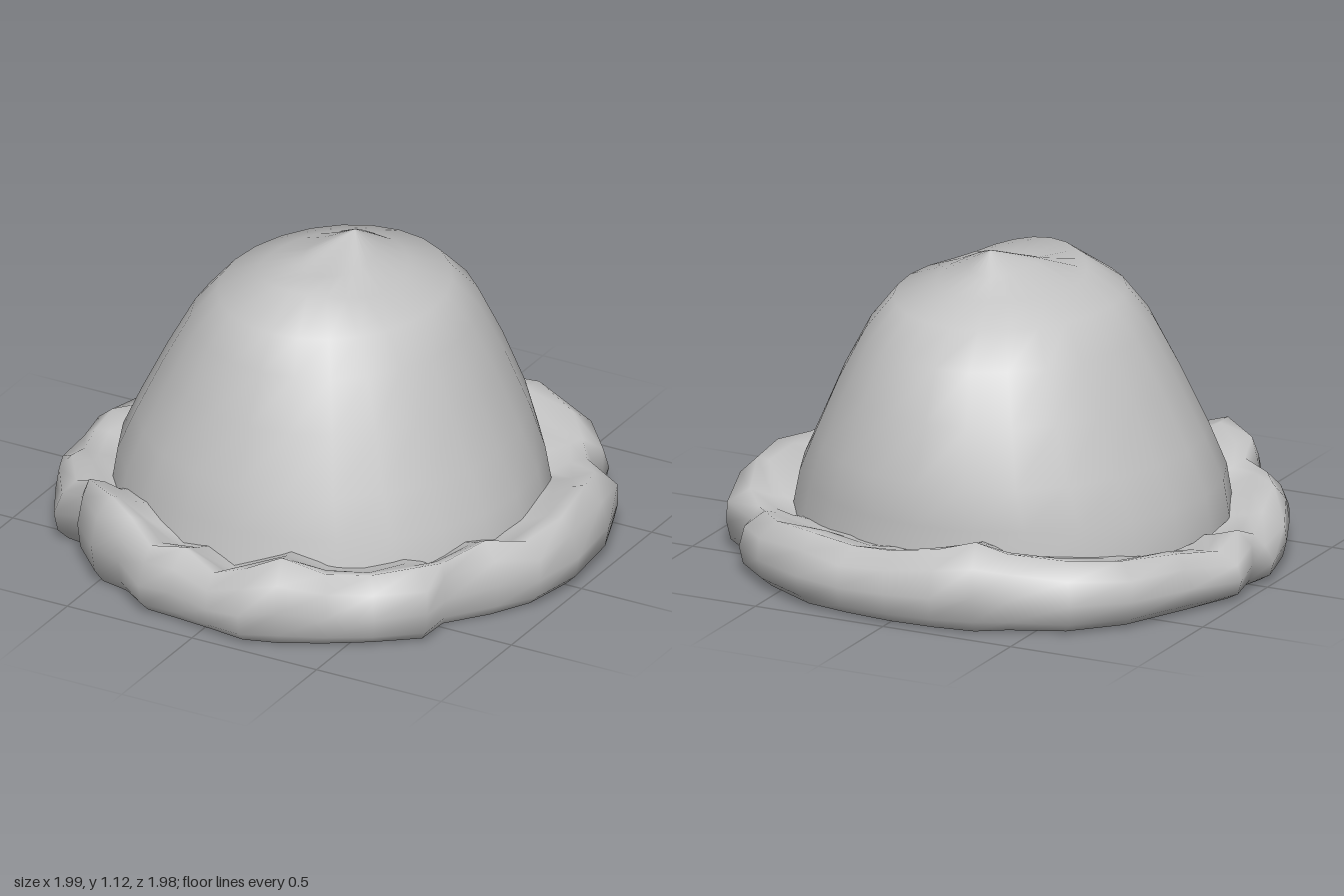
import * as THREE from 'three';

// Skin a list of closed rings of points, ordered from the underside outwards and up
function loft(rings) {
  const n = rings[0].length, pos = rings.flat(2), idx = [];
  for (let j = 0; j < rings.length - 1; j++) {
    for (let i = 0; i < n; i++) {
      const a = j * n + i, b = j * n + (i + 1) % n;
      idx.push(a, a + n, b, b, a + n, b + n);
    }
  }
  const g = new THREE.BufferGeometry();
  g.setAttribute('position', new THREE.Float32BufferAttribute(pos, 3));
  g.setIndex(idx);
  g.computeVertexNormals();
  return g;
}

// Dome levels: height, extra height at the front, reach towards +x, +z, -x, -z
const DOME = [
  [0.16, 0, 0.77, 0.75, 0.78, 0.77],
  [0.30, 0, 0.74, 0.72, 0.76, 0.76],
  [0.45, 0, 0.67, 0.68, 0.69, 0.755],
  [0.65, 0, 0.585, 0.60, 0.59, 0.68],
  [0.83, 0, 0.49, 0.52, 0.49, 0.60],
  [0.945, 0, 0.40, 0.44, 0.39, 0.48],
  [1.0, 0.05, 0.25, 0.30, 0.25, 0.32],
  [1.06, -0.025, 0.14, 0.13, 0.10, 0.22],
];

// Rim outline: angle from +x towards +z, outer radius, crest height
const RIM = [
  [0, 0.99, 0.26], [12, 0.97, 0.24], [22, 0.93, 0.28], [34, 0.89, 0.24], [41, 0.99, 0.27],
  [52, 0.97, 0.25], [62, 0.97, 0.27], [72, 0.99, 0.32], [80, 1.0, 0.27], [88, 0.96, 0.22],
  [97, 0.95, 0.27], [105, 0.97, 0.25], [115, 0.92, 0.29], [122, 0.96, 0.33], [134, 0.93, 0.31],
  [139, 0.89, 0.26], [144, 0.98, 0.23], [155, 0.97, 0.24], [165, 0.98, 0.19], [177, 1.0, 0.17],
  [183, 0.97, 0.21], [191, 1.015, 0.17], [204, 0.99, 0.21], [219, 1.03, 0.23], [232, 1.04, 0.25],
  [244, 1.0, 0.28], [251, 1.03, 0.32], [260, 1.01, 0.28], [270, 1.0, 0.26], [281, 1.0, 0.24],
  [291, 1.02, 0.26], [305, 1.01, 0.24], [316, 1.0, 0.22], [323, 0.95, 0.2], [332, 1.0, 0.22],
  [345, 1.0, 0.27],
];

// Rim cross-section: share of the way from dome to outer edge, share of crest height
const SECTION = [
  [0.78, 0.03], [0.94, 0.16], [1, 0.45], [0.93, 0.78],
  [0.68, 1], [0.42, 0.93], [0.16, 0.84], [-0.12, 0.8],
];

export function createModel() {
  const group = new THREE.Group();
  const grey = new THREE.MeshStandardMaterial({ color: 0xc4c4c4 });
  grey.name = 'plain grey';
  const add = (name, geometry) => {
    const mesh = new THREE.Mesh(geometry, grey);
    mesh.name = name;
    group.add(mesh);
  };

  // Lopsided dome drawn up to an off-centre peak
  const sides = 24;
  const around = Array.from({ length: sides }, (_, i) => (i / sides) * Math.PI * 2);
  const domeRings = DOME.map(([y, front, px, pz, nx, nz]) => around.map((a) => {
    const c = Math.cos(a), s = Math.sin(a);
    return [c * (c > 0 ? px : nx), y + front * Math.max(0, s) ** 2, s * (s > 0 ? pz : nz)];
  }));
  domeRings.push(around.map(() => [0.03, 1.12, -0.11]));
  add('dome', loft(domeRings));

  // Lumpy rim wrapped around the foot of the dome
  const inner = 0.75;
  const rimRings = SECTION.map(([t, k], j) => RIM.map(([deg, r, h], i) => {
    const a = THREE.MathUtils.degToRad(deg);
    const lump = j > 2 && j < 7 ? Math.sin(i * 2.3 + j * 1.7) : 0;
    const rad = inner + (r - inner) * t + lump * 0.015;
    const y = j === 0 ? 0.004 : h * k + (j > 4 ? lump * 0.012 : 0);
    return [Math.cos(a) * rad, y, Math.sin(a) * rad];
  }));
  add('rim', loft(rimRings));

  // Flat underside closing the rim
  add('base', loft([rimRings[0].map(() => [0, 0, 0]), rimRings[0]]));

  return group;
}
